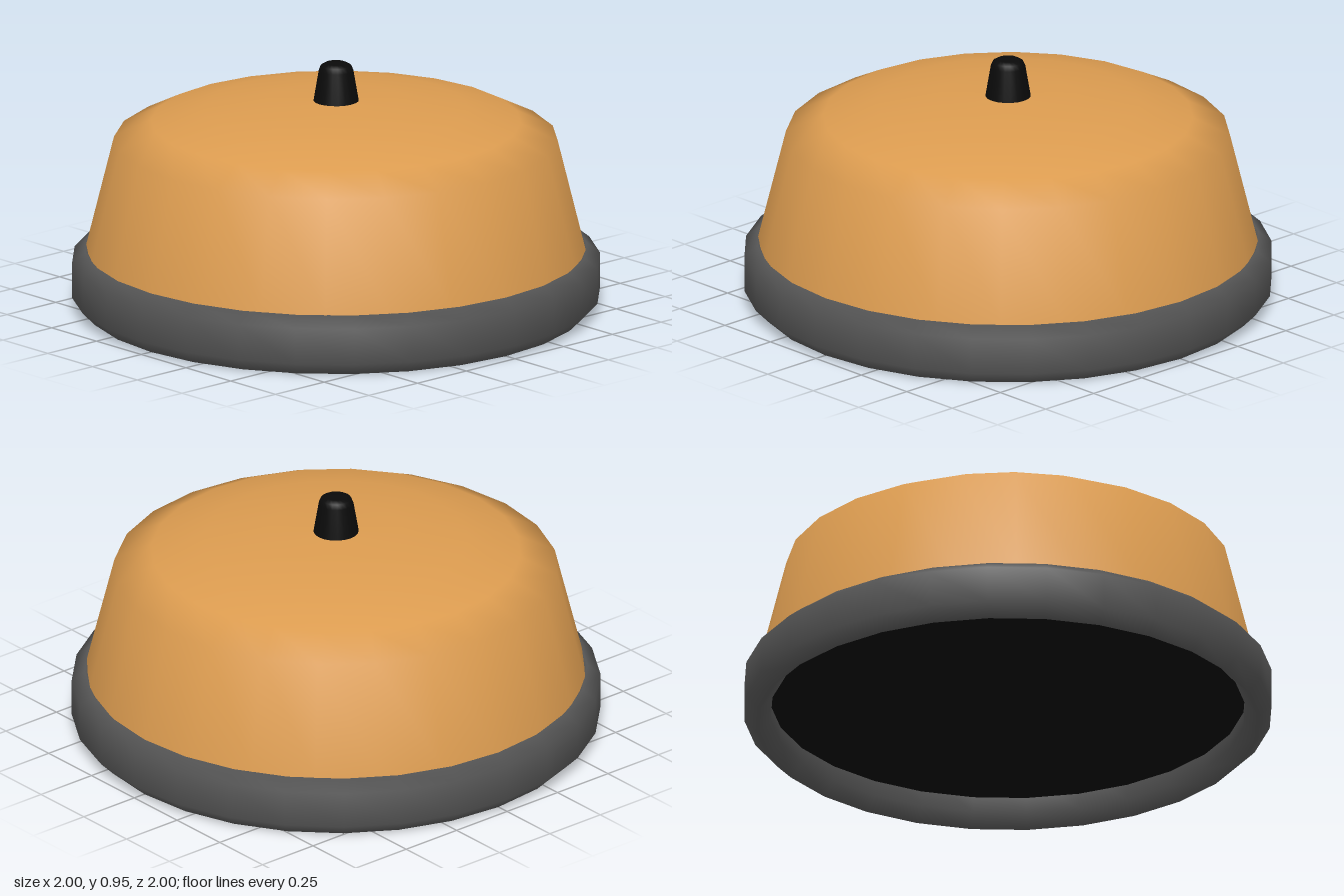
import * as THREE from 'three';

// Turned part from [radius, height] pairs, listed from bottom to top
function turned(name, profile, sides, color) {
  const points = profile.map(([r, y]) => new THREE.Vector2(r, y));
  const mesh = new THREE.Mesh(
    new THREE.LatheGeometry(points, sides),
    new THREE.MeshStandardMaterial({ color })
  );
  mesh.name = name;
  return mesh;
}

export function createModel() {
  const model = new THREE.Group();
  model.name = 'domedBell';

  // Bevelled ring around the foot, a closed six-sided section
  model.add(turned('baseRing', [
    [0.95, 0], [1, 0.05], [1, 0.19], [0.95, 0.23],
    [0.9, 0.19], [0.9, 0.05], [0.95, 0],
  ], 28, 0x555555));

  // Tapered wall running into a shallow dome
  model.add(turned('dome', [
    [0.972, 0.12], [0.945, 0.23], [0.84, 0.655], [0.7, 0.725],
    [0.5, 0.775], [0.26, 0.802], [0, 0.81],
  ], 24, 0xdc9c50));

  // Small tapered button on top
  model.add(turned('button', [
    [0.088, 0.795], [0.066, 0.925], [0.058, 0.944], [0.04, 0.954], [0, 0.955],
  ], 20, 0x0a0a0a));

  // Recessed floor closing the underside
  const floor = new THREE.Mesh(
    new THREE.CircleGeometry(0.93, 28).rotateX(Math.PI / 2),
    new THREE.MeshStandardMaterial({ color: 0x0a0a0a })
  );
  floor.name = 'floor';
  floor.position.y = 0.11;
  model.add(floor);

  return model;
}
